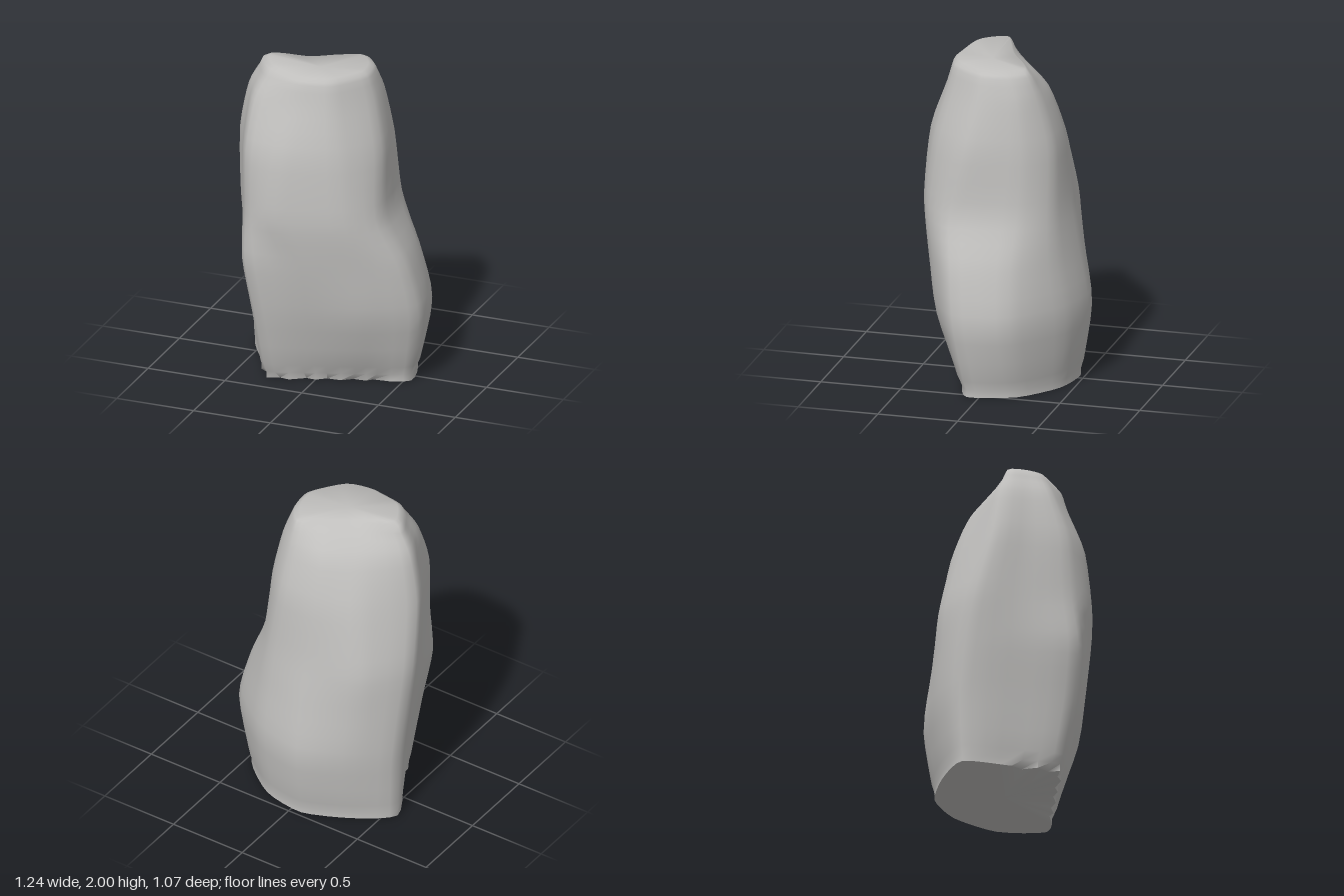
import * as THREE from 'three';
import { toCreasedNormals } from 'three/addons/utils/BufferGeometryUtils.js';

// Cross-sections: height, then x,z corners running left, front, right, back
const SECTIONS = [
  [0.00, [-.43, .10, -.285, .365, 0, .28, .29, .18, .54, .075, .46, -.22, .21, -.42, -.07, -.47, -.36, -.345, -.57, -.17]],
  [0.45, [-.465, .15, -.32, .46, 0, .41, .34, .32, .615, .14, .565, -.20, .25, -.46, -.08, -.535, -.40, -.385, -.59, -.18]],
  [0.80, [-.50, .19, -.37, .50, -.02, .475, .33, .36, .545, .18, .49, -.18, .25, -.41, -.07, -.485, -.42, -.365, -.61, -.14]],
  [1.10, [-.51, .19, -.38, .46, -.16, .53, .24, .415, .41, .22, .375, -.19, .22, -.38, -.07, -.43, -.42, -.345, -.62, -.08]],
  [1.50, [-.495, .22, -.39, .435, -.14, .485, .19, .38, .375, .14, .32, -.20, .16, -.36, -.10, -.37, -.36, -.26, -.58, .02]],
  [1.80, [-.45, .21, -.37, .34, -.10, .37, .13, .31, .30, .08, .27, -.16, .14, -.275, -.08, -.27, -.29, -.15, -.51, .05]],
  [1.97, [-.38, .17, -.30, .26, -.08, .315, .10, .27, .245, .07, .23, -.09, .14, -.20, -.02, -.13, -.19, -.02, -.41, .07]],
];
const SIDES = 40;
const STEPS = 4; // rows between neighbouring sections

const smooth = (points, closed, tension) => new THREE.CatmullRomCurve3(points, closed, 'catmullrom', tension);

function rockGeometry() {
  // Round each section, then run a smooth rib up every column
  const rings = SECTIONS.map(([y, c]) => {
    const corners = [];
    for (let i = 0; i < c.length; i += 2) corners.push(new THREE.Vector3(c[i], y, c[i + 1]));
    const curve = smooth(corners, true, 0.34);
    return Array.from({ length: SIDES }, (_, j) => curve.getPoint(j / SIDES));
  });
  const ribs = Array.from({ length: SIDES }, (_, j) => smooth(rings.map((r) => r[j]), false, 0.36));
  const count = (SECTIONS.length - 1) * STEPS;
  const rows = [];
  for (let i = 0; i <= count; i++) rows.push(ribs.map((rib) => rib.getPoint(i / count)));

  // Chipped foot: small notches along the front of the bottom edge
  const foot = rows[0].map((p, j) => {
    const notch = p.z > 0.12 && j % 2 === 1 ? 0.91 : 1;
    return new THREE.Vector3(p.x * notch, 0, p.z * notch);
  });
  rows[0].forEach((p) => { p.y = 0.045; });
  rows.unshift(foot);

  // Softened top rim, rising to a low peak on one side
  const top = rows[rows.length - 1];
  const middle = new THREE.Vector3(-0.05, 1.965, 0.08);
  const lift = (p) => { p.y += 0.027 * THREE.MathUtils.smoothstep(-p.x, 0.1, 0.36); };
  const cap = top.map((p) => p.clone().lerp(middle, 0.1).setY(1.973));
  top.forEach((p) => { p.y -= 0.015; lift(p); });
  cap.forEach(lift);
  rows.push(cap);

  const positions = [];
  rows.forEach((row) => row.forEach((p) => positions.push(p.x, p.y, p.z)));
  const index = [];
  const last = (rows.length - 1) * SIDES;
  const topCentre = positions.length / 3;
  positions.push(middle.x, middle.y, middle.z, 0, 0, -0.05);
  for (let j = 0; j < SIDES; j++) {
    const k = (j + 1) % SIDES;
    for (let i = 0; i < last; i += SIDES) {
      index.push(i + j, i + k, i + SIDES + k, i + j, i + SIDES + k, i + SIDES + j);
    }
    index.push(topCentre, last + j, last + k, topCentre + 1, k, j);
  }
  const geometry = new THREE.BufferGeometry();
  geometry.setAttribute('position', new THREE.Float32BufferAttribute(positions, 3));
  geometry.setIndex(index);
  return toCreasedNormals(geometry, 1.1);
}

export function createModel() {
  const group = new THREE.Group();
  group.name = 'standingStone';
  const stone = new THREE.MeshStandardMaterial({ color: 0xc0bfbd });
  stone.name = 'stone grey';
  const rock = new THREE.Mesh(rockGeometry(), stone);
  rock.name = 'rock';
  group.add(rock);
  return group;
}
